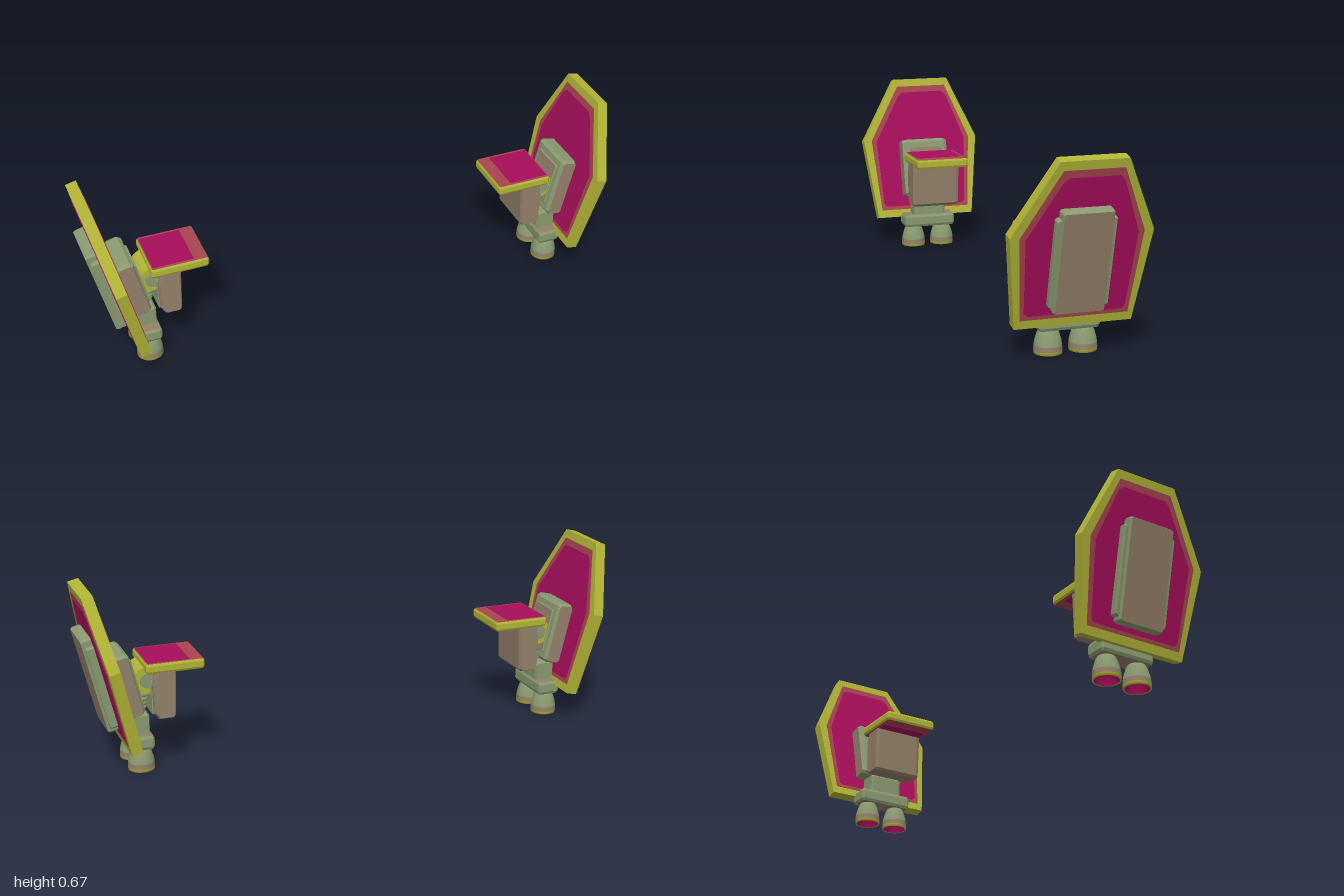
import * as THREE from 'three';

const mat = (name, color) => {
  const m = new THREE.MeshStandardMaterial({ color });
  m.name = name;
  return m;
};
const OLIVE = mat('olive yellow', 0xb2b636);
const MAGENTA = mat('magenta', 0xa80e5c);
const SALMON = mat('dull red', 0xa84450);
const SAGE = mat('sage green', 0x8a9a70);
const TAN = mat('tan', 0x94806a);

function add(parent, name, geo, material, x = 0, y = 0, z = 0) {
  const m = new THREE.Mesh(geo, material);
  m.name = name;
  m.position.set(x, y, z);
  parent.add(m);
  return m;
}

const polygon = (pts) => new THREE.Shape(pts.map(([a, b]) => new THREE.Vector2(a, b)));

// Chamfered block; caps face along the given axis and may differ in colour from the sides
function block(parent, name, [sx, sy, sz], [x, y, z], axis, cap, side, c = 0.01) {
  const [w, h, d] = axis === 'x' ? [sz, sy, sx] : axis === 'y' ? [sx, sz, sy] : [sx, sy, sz];
  const a = w / 2 - c, b = h / 2 - c, k = c * 0.5;
  const shape = polygon([[-a, -b - k], [a, -b - k], [a + k, -b], [a + k, b], [a, b + k], [-a, b + k], [-a - k, b], [-a - k, -b]]);
  const geo = new THREE.ExtrudeGeometry(shape, {
    depth: d - 2 * c, bevelEnabled: true, bevelThickness: c, bevelSize: c * 0.5, bevelSegments: 1,
  });
  geo.translate(0, 0, -(d - 2 * c) / 2);
  if (axis === 'x') geo.rotateY(Math.PI / 2);
  if (axis === 'y') geo.rotateX(-Math.PI / 2);
  return add(parent, name, geo, [cap, side], x, y, z);
}

// Flat hexagonal slab in the yz plane, centred on x = 0
function slab(pts, depth) {
  const geo = new THREE.ExtrudeGeometry(polygon(pts.map(([z, y]) => [-z, y])), { depth, bevelEnabled: false });
  geo.translate(0, 0, -depth / 2);
  return geo.rotateY(Math.PI / 2);
}

function buildShield(pod) {
  const shield = new THREE.Group();
  shield.name = 'shield';
  shield.position.set(0.911, 0.39, 0);
  shield.rotation.z = -THREE.MathUtils.degToRad(13.5);
  pod.add(shield);

  add(shield, 'shieldRim', slab([[0.098, 0.2875], [-0.132, 0.2875], [-0.243, 0.036],
    [-0.202, -0.2875], [0.202, -0.2875], [0.243, 0.036]], 0.04), OLIVE);
  // Painted fields on both faces of the shield
  add(shield, 'shieldBorder', slab([[0.085, 0.257], [-0.12, 0.257], [-0.21, 0.035],
    [-0.185, -0.257], [0.185, -0.257], [0.21, 0.035]], 0.043), SALMON);
  add(shield, 'shieldField', slab([[0.066, 0.232], [-0.105, 0.232], [-0.122, 0.217], [-0.19, 0.03],
    [-0.172, -0.232], [-0.16, -0.243], [0.16, -0.243], [0.174, -0.232], [0.19, 0.03], [0.083, 0.217]], 0.046), MAGENTA);

  // Outer armour panel
  block(shield, 'panelBase', [0.035, 0.312, 0.204], [0.034, -0.053, 0], 'x', SAGE, SAGE, 0.008);
  block(shield, 'panelFace', [0.045, 0.358, 0.176], [0.038, -0.048, 0], 'x', TAN, SAGE, 0.009);

  // Inner mounting block
  block(shield, 'mountBlock', [0.066, 0.235, 0.19], [-0.05, -0.088, 0], 'z', TAN, SAGE, 0.014);
  block(shield, 'mountPad', [0.012, 0.17, 0.13], [-0.084, -0.088, 0], 'x', TAN, SAGE, 0.004);
}

function buildJoint(pod) {
  const drum = new THREE.CylinderGeometry(0.05, 0.05, 0.12, 24).rotateX(Math.PI / 2);
  add(pod, 'jointDrum', drum, OLIVE, 0.765, 0.325, 0);
  const hub = new THREE.CylinderGeometry(0.028, 0.028, 0.14, 20).rotateX(Math.PI / 2);
  add(pod, 'jointHub', hub, SAGE, 0.765, 0.325, 0);
  // Ribbed flexible link below the joint
  for (let i = 0; i < 5; i++) {
    const rib = new THREE.TorusGeometry(0.022, 0.008, 6, 16).rotateX(Math.PI / 2);
    add(pod, 'linkRib', rib, SAGE, 0.772 + i * 0.004, 0.275 - i * 0.016, 0);
  }
  add(pod, 'linkCore', new THREE.CylinderGeometry(0.02, 0.02, 0.12, 14), TAN, 0.785, 0.235, 0);
}

function buildBracket(pod) {
  // Horizontal plate with painted top and underside
  block(pod, 'shelfPlate', [0.21, 0.036, 0.21], [0.673, 0.378, 0], 'y', SALMON, OLIVE, 0.008);
  for (const y of [0.3965, 0.3595])
    add(pod, 'shelfPaint', new THREE.BoxGeometry(0.15, 0.003, 0.18), MAGENTA, 0.695, y, 0);
  // Hanging block
  const s = polygon([[0.67, 0.362], [0.676, 0.195], [0.684, 0.186], [0.735, 0.186], [0.75, 0.21], [0.752, 0.31], [0.742, 0.362]].reverse());
  const geo = new THREE.ExtrudeGeometry(s, {
    depth: 0.17, bevelEnabled: true, bevelThickness: 0.012, bevelSize: 0.006, bevelOffset: -0.004, bevelSegments: 1,
  });
  add(pod, 'hangingBlock', geo, [TAN, TAN], 0, 0, -0.085);
  block(pod, 'hangingPad', [0.012, 0.13, 0.15], [0.75, 0.265, 0], 'x', SAGE, SAGE, 0.004);
}

function buildThruster(pod) {
  block(pod, 'thrusterCap', [0.074, 0.085, 0.13], [0.8, 0.158, 0], 'z', SAGE, SAGE, 0.01);
  block(pod, 'thrusterBody', [0.085, 0.05, 0.21], [0.8, 0.107, 0], 'y', TAN, SAGE, 0.01);
  const bell = (pts) => new THREE.LatheGeometry(pts.map(([r, y]) => new THREE.Vector2(r, y)), 28);
  for (const z of [-0.06, 0.062]) {
    add(pod, 'nozzleBell', bell([[0.047, 0.028], [0.044, 0.045], [0.037, 0.068], [0.031, 0.08], [0.025, 0.09]]), SAGE, 0.8, 0, z);
    add(pod, 'nozzleBand', bell([[0.048, 0.01], [0.047, 0.028]]), TAN, 0.8, 0, z);
    add(pod, 'nozzleLip', bell([[0.042, 0], [0.047, 0], [0.048, 0.01]]), OLIVE, 0.8, 0, z);
    add(pod, 'nozzleInside', bell([[0, 0.055], [0.03, 0.05], [0.042, 0]]), MAGENTA, 0.8, 0, z)
      .geometry.index.array.reverse();
    const inside = pod.children[pod.children.length - 1].geometry;
    inside.computeVertexNormals();
    orientDown(inside);
  }
}

// Make every face of a dish point downwards
function orientDown(geo) {
  const p = geo.attributes.position, ix = geo.index.array;
  const [a, b, c] = [0, 1, 2].map(() => new THREE.Vector3());
  for (let i = 0; i < ix.length; i += 3) {
    [a, b, c].forEach((v, k) => v.fromBufferAttribute(p, ix[i + k]));
    if (b.sub(a).cross(c.sub(a)).y > 0) [ix[i], ix[i + 1]] = [ix[i + 1], ix[i]];
  }
  geo.computeVertexNormals();
}

// Mirrored copy of a pod across x = 0, with faces turned the right way round
function mirrorPod(pod) {
  const out = new THREE.Group();
  pod.updateMatrixWorld(true);
  pod.traverse((m) => {
    if (!m.isMesh) return;
    let geo = m.geometry.index ? m.geometry.toNonIndexed() : m.geometry.clone();
    geo.applyMatrix4(m.matrixWorld).scale(-1, 1, 1);
    for (const name of ['position', 'normal']) {
      const arr = geo.attributes[name].array;
      for (let i = 0; i < arr.length; i += 9)
        for (let k = 0; k < 3; k++) [arr[i + 3 + k], arr[i + 6 + k]] = [arr[i + 6 + k], arr[i + 3 + k]];
      // Normals follow the same reflection as positions
      if (name === 'normal') geo.normalizeNormals();
    }
    add(out, m.name, geo, m.material);
  });
  return out;
}

export function createModel() {
  const model = new THREE.Group();
  model.name = 'shoulderShieldPair';
  const left = new THREE.Group();
  left.name = 'leftPod';
  buildShield(left);
  buildJoint(left);
  buildBracket(left);
  buildThruster(left);
  const right = mirrorPod(left);
  right.name = 'rightPod';
  model.add(left, right);
  return model;
}
